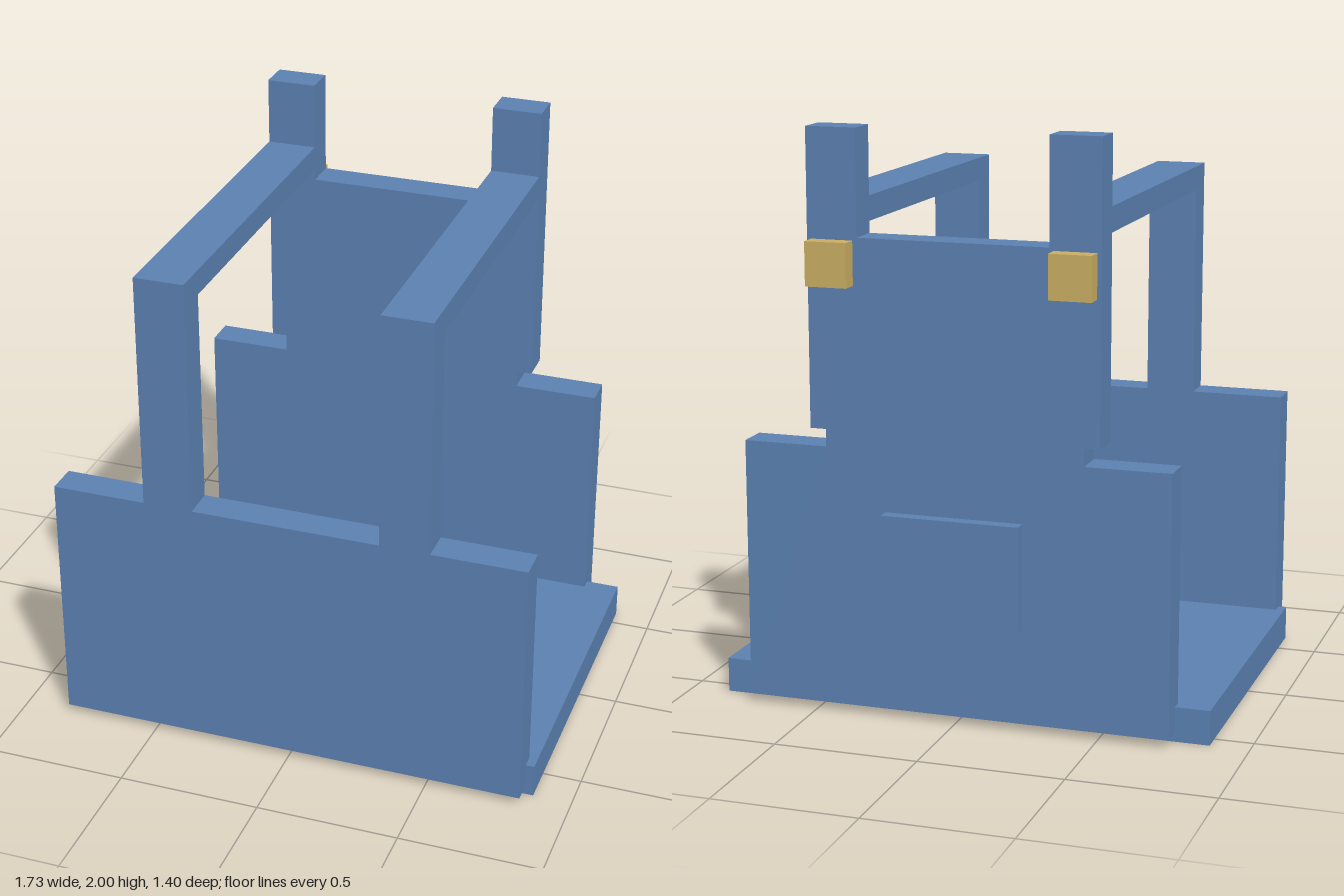
import * as THREE from 'three';

export function createModel() {
  const model = new THREE.Group();
  model.name = 'bibOveralls';
  const blue = new THREE.MeshStandardMaterial({ color: 0x5b80b0 });
  blue.name = 'denim blue';
  const gold = new THREE.MeshStandardMaterial({ color: 0xc8ad62 });
  gold.name = 'brass';

  // Box given by its minimum and maximum on each axis
  function box(name, material, [x0, x1], [y0, y1], [z0, z1]) {
    const mesh = new THREE.Mesh(new THREE.BoxGeometry(x1 - x0, y1 - y0, z1 - z0), material);
    mesh.position.set((x0 + x1) / 2, (y0 + y1) / 2, (z0 + z1) / 2);
    mesh.name = name;
    model.add(mesh);
  }

  // Flat panel, mirrored from its right-hand outline (bottom to top)
  function panel(name, half, z0, z1) {
    const mirrored = half.map(([x, y]) => [-x, y]).reverse();
    const shape = new THREE.Shape([...half, ...mirrored].map(([x, y]) => new THREE.Vector2(x, y)));
    const geometry = new THREE.ExtrudeGeometry(shape, { depth: z1 - z0, bevelEnabled: false });
    const mesh = new THREE.Mesh(geometry, blue);
    mesh.position.z = z0;
    mesh.name = name;
    model.add(mesh);
  }

  // Floor slab
  box('floor', blue, [-0.865, 0.865], [0, 0.12], [-0.565, 0.63]);

  // Front panel with the two upright straps
  panel('frontPanel', [
    [0.835, 0.03], [0.835, 0.93], [0.505, 0.93], [0.505, 1.765], [0.33, 1.765], [0.33, 0.93],
  ], 0.585, 0.7);

  // Back panel with tall posts and small notches under their outer edges
  panel('backPanel', [
    [0.745, 0.03], [0.745, 0.93], [0.45, 0.93], [0.45, 0.99], [0.505, 0.99],
    [0.505, 2], [0.33, 2], [0.33, 1.64],
  ], -0.64, -0.525);

  // Shoulder straps and brass buckles
  for (const side of [-1, 1]) {
    const label = side > 0 ? 'left' : 'right';
    const span = (a, b) => (side > 0 ? [a, b] : [-b, -a]);
    box(label + 'ShoulderStrap', blue, span(0.33, 0.505), [1.68, 1.765], [-0.525, 0.585]);
    box(label + 'Buckle', gold, span(0.345, 0.49), [1.48, 1.63], [-0.7, -0.64]);
  }

  // Pocket on the back
  box('backPocket', blue, [-0.24, 0.24], [0.36, 0.72], [-0.685, -0.64]);

  return model;
}
